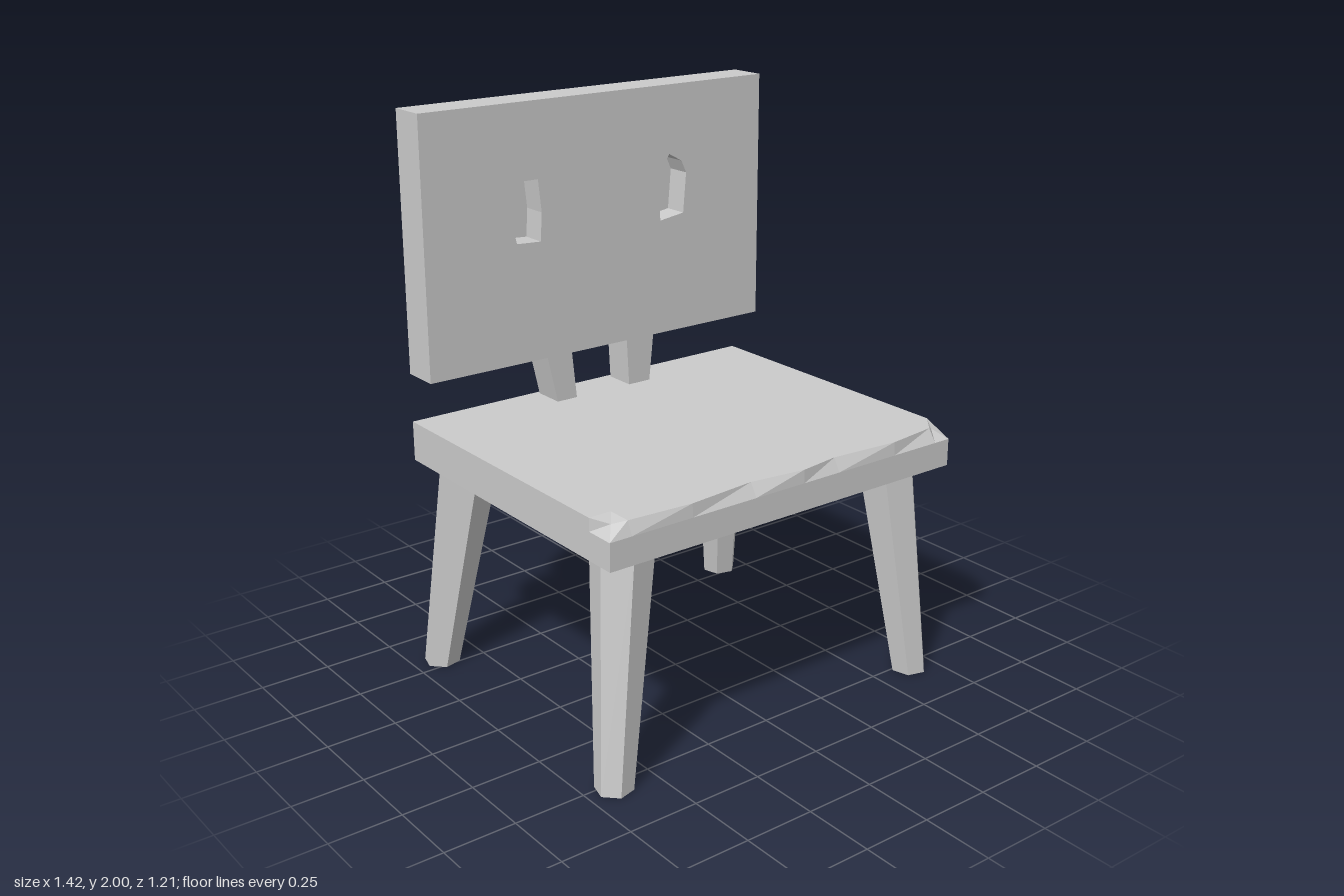
import * as THREE from 'three';

const material = new THREE.MeshStandardMaterial({ color: 0xcccccc, flatShading: true });

function addMesh(parent, name, geometry) {
  const mesh = new THREE.Mesh(geometry, material);
  mesh.name = name;
  parent.add(mesh);
  return mesh;
}

// Move every vertex of a geometry by a rule
function reshape(geometry, rule) {
  const pos = geometry.attributes.position;
  const v = new THREE.Vector3();
  for (let i = 0; i < pos.count; i++) {
    rule(v.fromBufferAttribute(pos, i));
    pos.setXYZ(i, v.x, v.y, v.z);
  }
  geometry.computeVertexNormals();
  return geometry;
}

// Slab whose upper front edge and corners are roughly whittled away
function seatGeometry() {
  const columns = [-0.71, -0.63, -0.4, -0.15, 0.05, 0.2, 0.45, 0.64, 0.705];
  const inset = [0.05, 0.02, 0.004, 0.028, 0.003, 0.025, 0.005, 0.03, 0.045];
  const rows = [-0.55, 0.5, 0.605];
  const levels = [0.79, 0.885, 0.93];
  return reshape(new THREE.BoxGeometry(8, 2, 2, 8, 2, 2), (v) => {
    const i = Math.round(v.x + 4), j = Math.round(v.y + 1), k = Math.round(v.z + 1);
    v.set(columns[i], levels[j], rows[k]);
    if (j === 2 && k === 2) {
      v.z -= inset[i];
      if (i === 0 || i === 8) {
        v.x -= Math.sign(v.x) * 0.04;
        v.y -= 0.012;
      }
    }
  });
}

// Six-sided tapered leg, leaning from its top centre to its foot
function legGeometry(side, top, foot) {
  const height = 0.8;
  const geometry = new THREE.CylinderGeometry(0.104, 0.064, height, 6, 1, false, side * Math.PI / 12);
  return reshape(geometry, (v) => {
    const t = v.y / height + 0.5;
    v.x += side * THREE.MathUtils.lerp(foot[0], top[0], t);
    v.z += THREE.MathUtils.lerp(foot[1], top[1], t);
    v.y += height / 2;
  });
}

// Four-sided post between seat and backrest, given its x range at both ends
function postGeometry(low, high) {
  return reshape(new THREE.BoxGeometry(1, 1, 1), (v) => {
    const range = v.y > 0 ? high : low;
    v.x = v.x < 0 ? range[0] : range[1];
    v.z = v.z < 0 ? -0.535 : -0.418;
    v.y = v.y > 0 ? 1.12 : 0.92;
  });
}

const toPath = (PathType, points) => new PathType(points.map(([x, y]) => new THREE.Vector2(x, y)));

export function createModel() {
  const chair = new THREE.Group();
  chair.name = 'chair';

  addMesh(chair, 'seat', seatGeometry());

  // Legs
  for (const [label, side] of [['Left', 1], ['Right', -1]]) {
    addMesh(chair, `front${label}Leg`, legGeometry(side, [0.557, 0.455], [0.65, 0.525]));
    addMesh(chair, `back${label}Leg`, legGeometry(side, [0.557, -0.435], [0.645, -0.547]));
  }

  // Posts
  addMesh(chair, 'rightPost', postGeometry([-0.2, -0.12], [-0.245, -0.14]));
  addMesh(chair, 'leftPost', postGeometry([0.11, 0.2], [0.1, 0.222]));

  // Backrest: a pierced front layer on a solid back layer makes two blind pockets
  const backrest = new THREE.Group();
  backrest.name = 'backrest';
  chair.add(backrest);
  const pocketDepth = 0.09;
  const panel = toPath(THREE.Shape, [[-0.71, 1.102], [0.703, 1.102], [0.703, 2], [-0.71, 2]]);
  panel.holes.push(
    toPath(THREE.Path, [[-0.355, 1.525], [-0.26, 1.52], [-0.253, 1.62], [-0.265, 1.735], [-0.365, 1.735], [-0.38, 1.63]]),
    toPath(THREE.Path, [[0.25, 1.52], [0.353, 1.535], [0.366, 1.68], [0.345, 1.725], [0.29, 1.755], [0.254, 1.7], [0.243, 1.61]])
  );
  const front = new THREE.ExtrudeGeometry(panel, { depth: pocketDepth, bevelEnabled: false });
  addMesh(backrest, 'backrestFront', front).position.z = -0.412 - pocketDepth;
  const solidDepth = 0.55 - 0.412 - pocketDepth;
  const back = addMesh(backrest, 'backrestBack', new THREE.BoxGeometry(1.413, 0.898, solidDepth));
  back.position.set(-0.0035, 1.551, -0.55 + solidDepth / 2);

  return chair;
}
